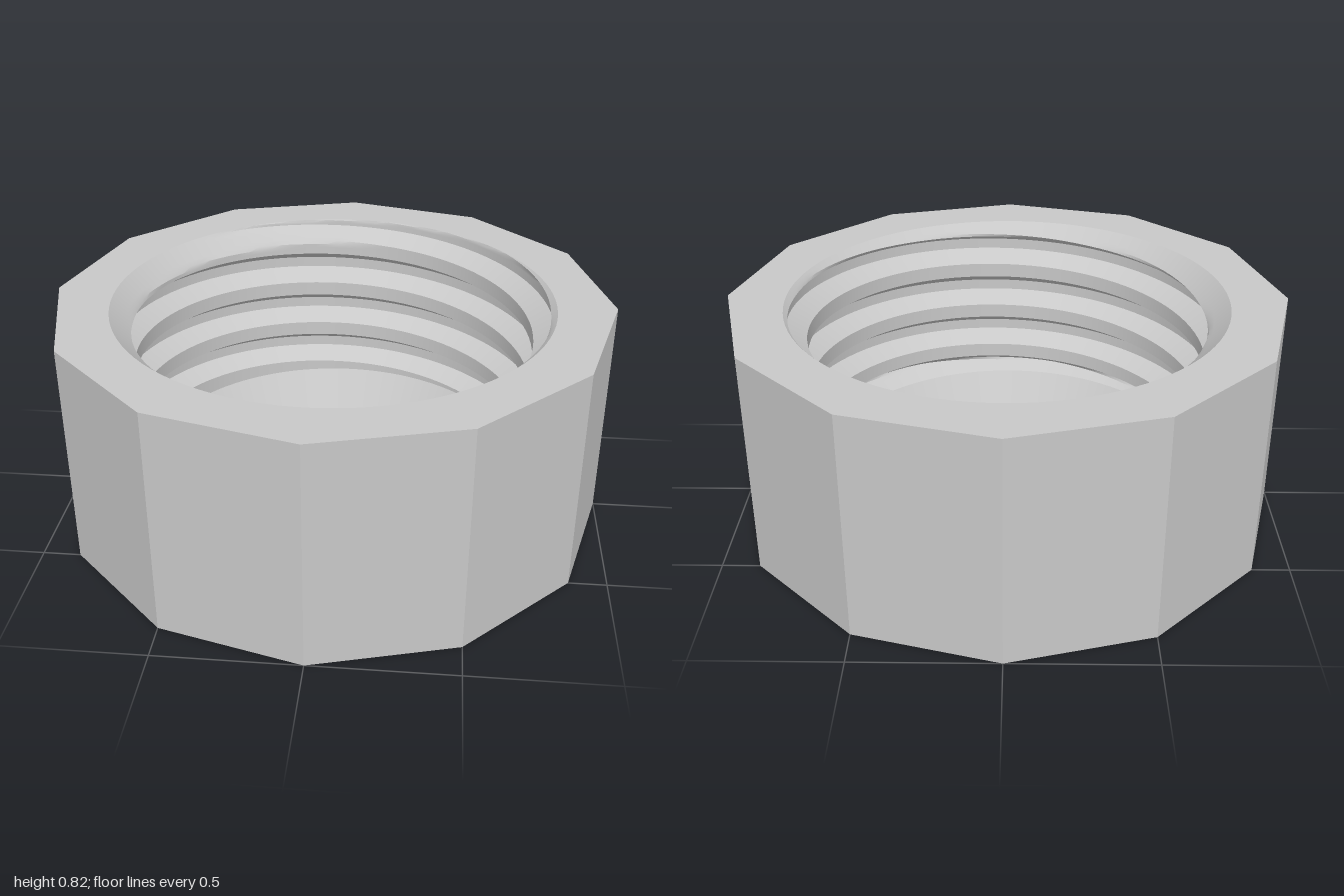
import * as THREE from 'three';
import { toCreasedNormals } from 'three/addons/utils/BufferGeometryUtils.js';

const HEIGHT = 0.82, OUTER = 1, SIDES = 12, SEG = 96;
const LIP = 0.62, LIP_TOP = 0.16;                 // conical lip under the thread
const MINOR = 0.715, MAJOR = 0.787, MOUTH = 0.79;
const PITCH = 0.185, CREST = 0.028, FLANK = 0.072; // half widths measured from the crest centre
const CREST_Y = 0.306;                             // height of a crest at angle 0

// Bore radius at a height and at an offset from the nearest crest
function boreRadius(y, offset) {
  const k = THREE.MathUtils.clamp((Math.abs(offset) - CREST) / (FLANK - CREST), 0, 1);
  const thread = MINOR + (MAJOR - MINOR) * k;
  const runOut = MINOR + 1.7 * (y - LIP_TOP);      // thread closes at the lip
  const leadIn = MOUTH - (HEIGHT - y);             // countersunk mouth
  return Math.max(Math.min(thread, runOut), leadIn);
}

// Right-handed helical thread, its rows following the crest and root edges
function threadGeometry() {
  const rows = [];
  const edges = [-FLANK, -CREST, CREST, FLANK, PITCH - FLANK];
  for (let turn = -3; turn <= 4; turn++) {
    for (let e = 0; e < 4; e++) {
      for (let s = 0; s < 4; s++) {
        rows.push(CREST_Y + turn * PITCH + THREE.MathUtils.lerp(edges[e], edges[e + 1], s / 4));
      }
    }
  }
  const positions = [], index = [], n = rows.length;
  for (let i = 0; i <= SEG; i++) {
    const a = (i / SEG) * Math.PI * 2, lift = (PITCH * i) / SEG;
    for (const row of rows) {
      const y = THREE.MathUtils.clamp(row + lift, LIP_TOP, HEIGHT);
      const turns = (y - lift - CREST_Y) / PITCH;
      const r = boreRadius(y, (turns - Math.round(turns)) * PITCH);
      positions.push(r * Math.cos(a), y, -r * Math.sin(a));
    }
  }
  const same = (p, q) => Math.abs(positions[p * 3 + 1] - positions[q * 3 + 1]) < 1e-7;
  for (let i = 0; i < SEG; i++) {
    for (let j = 0; j < n - 1; j++) {
      const a = i * n + j, b = a + n, c = a + 1, d = b + 1;
      if (!same(a, c)) index.push(b, a, c);
      if (!same(b, d)) index.push(b, c, d);
    }
  }
  const geometry = new THREE.BufferGeometry();
  geometry.setAttribute('position', new THREE.Float32BufferAttribute(positions, 3));
  geometry.setIndex(index);
  return toCreasedNormals(geometry, 0.5);
}

// Flat twelve-sided face with a round opening
function faceGeometry(holeRadius) {
  const ring = (radius, count) => Array.from({ length: count }, (_, i) => {
    const a = (i / count) * Math.PI * 2;
    return new THREE.Vector2(radius * Math.cos(a), radius * Math.sin(a));
  });
  const shape = new THREE.Shape(ring(OUTER, SIDES));
  shape.holes.push(new THREE.Path(ring(holeRadius, SEG)));
  return new THREE.ShapeGeometry(shape);
}

export function createModel() {
  const group = new THREE.Group();
  group.name = 'threadedNut';
  const steel = new THREE.MeshStandardMaterial({ color: 0xc8c8c8 });
  steel.name = 'steel grey';
  const add = (name, geometry) => {
    const mesh = new THREE.Mesh(geometry, steel);
    mesh.name = name;
    group.add(mesh);
  };

  // Outer wall with sharp corners
  const wall = new THREE.CylinderGeometry(OUTER, OUTER, HEIGHT, SIDES, 1, true).toNonIndexed();
  wall.computeVertexNormals();
  add('outerWall', wall.translate(0, HEIGHT / 2, 0));

  // End faces
  add('topFace', faceGeometry(MOUTH).rotateX(-Math.PI / 2).translate(0, HEIGHT, 0));
  add('bottomFace', faceGeometry(LIP).rotateX(Math.PI / 2));

  // Threaded bore above the conical lip, whose profile runs downward so it faces the axis
  add('threadedBore', threadGeometry());
  const lipProfile = [new THREE.Vector2(MINOR, LIP_TOP), new THREE.Vector2(LIP, 0)];
  add('lip', new THREE.LatheGeometry(lipProfile, SEG));
  return group;
}
